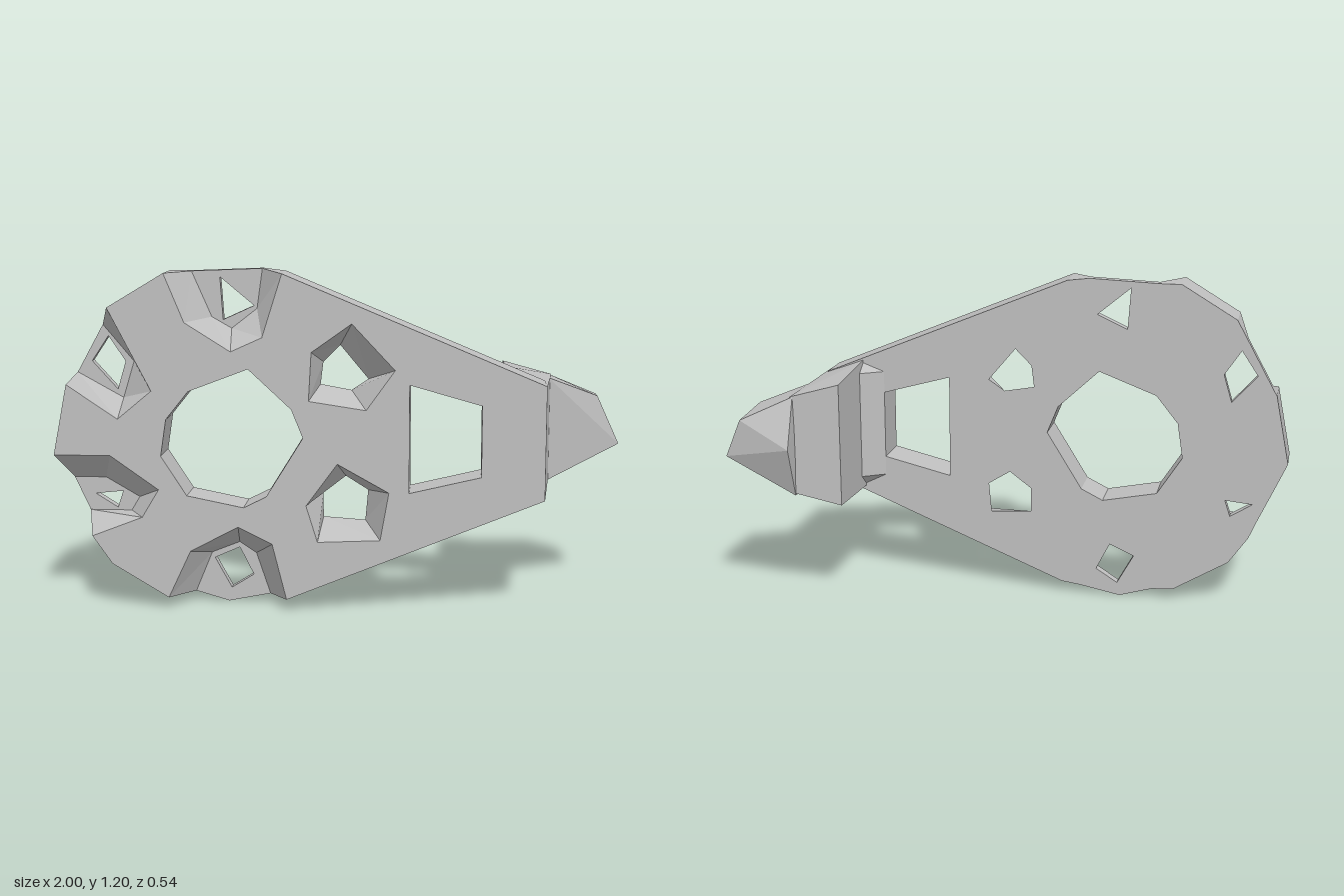
import * as THREE from 'three';
import { ConvexGeometry } from 'three/addons/geometries/ConvexGeometry.js';

const FRONT = 0.27, MID = 0.155, BACK = 0.12;

// Pockets that break through the rim: opening on the front, smaller floor, slot through the back
const notches = {
  top: {
    front: [[-.19, 1.19], [-.26, .97], [-.37, .92], [-.53, 1.02], [-.6, 1.19]],
    floor: [[-.27, 1.2], [-.29, 1.06], [-.38, .99], [-.45, 1.03], [-.52, 1.19]],
    slot: [[-.42, 1.17], [-.41, 1.02], [-.3, 1.07]], rim: [],
  },
  upperLeft: {
    front: [[-.8, 1.07], [-.65, .78], [-.77, .68], [-.95, .8]],
    floor: [[-.839, 1], [-.73, .87], [-.77, .74], [-.933, .83]],
    slot: [[-.82, .96], [-.88, .87], [-.79, .77], [-.76, .87]], rim: [],
  },
  lowerLeft: {
    front: [[-1, .55], [-.8, .55], [-.63, .43], [-.69, .33], [-.87, .26]],
    floor: [[-.955, .45], [-.84, .45], [-.72, .38], [-.75, .33], [-.9, .33]],
    slot: [[-.88, .39], [-.8, .34], [-.78, .4]], rim: [],
  },
  bottom: {
    front: [[-.6, .04], [-.52, .21], [-.35, .3], [-.23, .24], [-.18, .04]],
    floor: [[-.52, .035], [-.46, .18], [-.36, .22], [-.3, .18], [-.25, .03]],
    slot: [[-.45, .16], [-.39, .05], [-.31, .1], [-.36, .2]], rim: [[-.4, 0]],
  },
};

// Holes inside the plate, counter-clockwise, tapering from front to back
const centre = [[-.53, .41], [-.33, .37], [-.25, .41], [-.12, .62], [-.16, .72], [-.31, .86], [-.52, .78], [-.6, .68], [-.62, .55]];
const windowHole = [[.25, .43], [.5, .49], [.5, .74], [.25, .81]];
const holes = [
  { front: centre, back: centre },
  { front: windowHole, back: windowHole },
  { front: [[-.1, .75], [.1, .72], [.2, .86], [.05, 1.02], [-.09, .92]],
    back: [[-.07, .79], [.04, .77], [.1, .81], [0, .93], [-.06, .87]] },
  { front: [[-.07, .25], [.15, .26], [.18, .43], [0, .53], [-.11, .38]],
    back: [[-.06, .31], [.09, .3], [.1, .41], [.02, .46], [-.06, .4]] },
];

// Collects flat triangles for caps and walls
class Faces {
  constructor() { this.p = []; }
  tri(...v) { v.forEach((q) => this.p.push(...q)); }
  cap(loop, inner, z, dir) {
    const toV = (l) => l.map(([x, y]) => new THREE.Vector2(x, y));
    const outer = toV(loop), gaps = inner.map(toV);
    const all = [outer, ...gaps].flat();
    for (const f of THREE.ShapeUtils.triangulateShape(outer, gaps)) {
      const [a, b, c] = f.map((i) => all[i]);
      const area = (b.x - a.x) * (c.y - a.y) - (b.y - a.y) * (c.x - a.x);
      const t = area * dir > 0 ? [a, b, c] : [a, c, b];
      this.tri(...t.map((v) => [v.x, v.y, z]));
    }
  }
  wall(a, za, b, zb, isHole = false) {
    if (isHole) { a = [...a].reverse(); b = [...b].reverse(); }
    a.forEach((_, i) => {
      const j = (i + 1) % a.length;
      const A = [...a[i], za], B = [...b[i], zb], C = [...b[j], zb], D = [...a[j], za];
      this.tri(A, B, C);
      this.tri(A, C, D);
    });
  }
  geometry() {
    const g = new THREE.BufferGeometry();
    g.setAttribute('position', new THREE.Float32BufferAttribute(this.p, 3));
    g.computeVertexNormals();
    return g;
  }
}

export function createModel() {
  const group = new THREE.Group();
  const grey = new THREE.MeshStandardMaterial({ color: 0xc0c0c0 });
  grey.name = 'plain grey';
  const add = (name, geometry) => {
    const mesh = new THREE.Mesh(geometry, grey);
    mesh.name = name;
    group.add(mesh);
  };

  // Outline walked once, recorded at the front, at the notch floors and at the back
  const cap = [], front = [], mid = [], back = [];
  const corner = (...pts) => pts.forEach((q) => [cap, front, mid, back].forEach((l) => l.push(q)));
  const notch = (n) => {
    const first = n.front[0], last = n.front.at(-1);
    cap.push(...n.front);
    front.push(first, ...n.front, last);
    mid.push(first, ...n.floor, last);
    back.push(first, n.floor[0], ...n.rim, n.floor.at(-1), last);
  };
  corner([.72, .41], [.72, .81]);
  notch(notches.top);
  notch(notches.upperLeft);
  notch(notches.lowerLeft);
  corner([-.8, .16]);
  notch(notches.bottom);

  // Perforated plate
  const plate = new Faces();
  const slots = Object.values(notches).map((n) => n.slot);
  plate.cap(cap, holes.map((h) => h.front), FRONT, 1);
  plate.cap(back, [...holes.map((h) => h.back), ...slots], BACK, -1);
  plate.wall(front, FRONT, mid, MID);
  plate.wall(back, MID, back, BACK);
  holes.forEach((h) => plate.wall(h.front, FRONT, h.back, BACK, true));
  add('perforatedPlate', plate.geometry());

  // Notch floors with their slots
  const floors = new Faces();
  for (const n of Object.values(notches)) {
    floors.cap([...n.floor, ...[...n.rim].reverse()], [n.slot], MID, 1);
    floors.wall(n.slot, MID, n.slot, BACK, true);
  }
  add('notchFloors', floors.geometry());

  // Bracket behind the narrow end
  const hull = (pts) => new ConvexGeometry(pts.map((q) => new THREE.Vector3(...q)));
  add('bracketWall', hull([
    [.58, .86, .12], [.58, .37, .12], [.58, .84, -.19], [.58, .39, -.19],
    [.72, .81, .27], [.72, .41, .27], [.74, .8, -.04], [.74, .42, -.04],
    [.76, .79, -.2], [.76, .43, -.2],
  ]));
  add('bracketFillet', hull([
    [.5, .82, .12], [.5, .42, .12], [.58, .85, .12], [.58, .38, .12], [.58, .82, .07], [.58, .42, .07],
  ]));

  // Pointed foot
  add('pointedFoot', hull([
    [.74, .8, -.03], [.74, .42, -.04], [.92, .73, -.07], [1, .555, -.07],
    [.75, .79, -.2], [.75, .42, -.2], [.75, .61, -.27], [.93, .71, -.26], [.99, .57, -.25],
  ]));
  return group;
}
